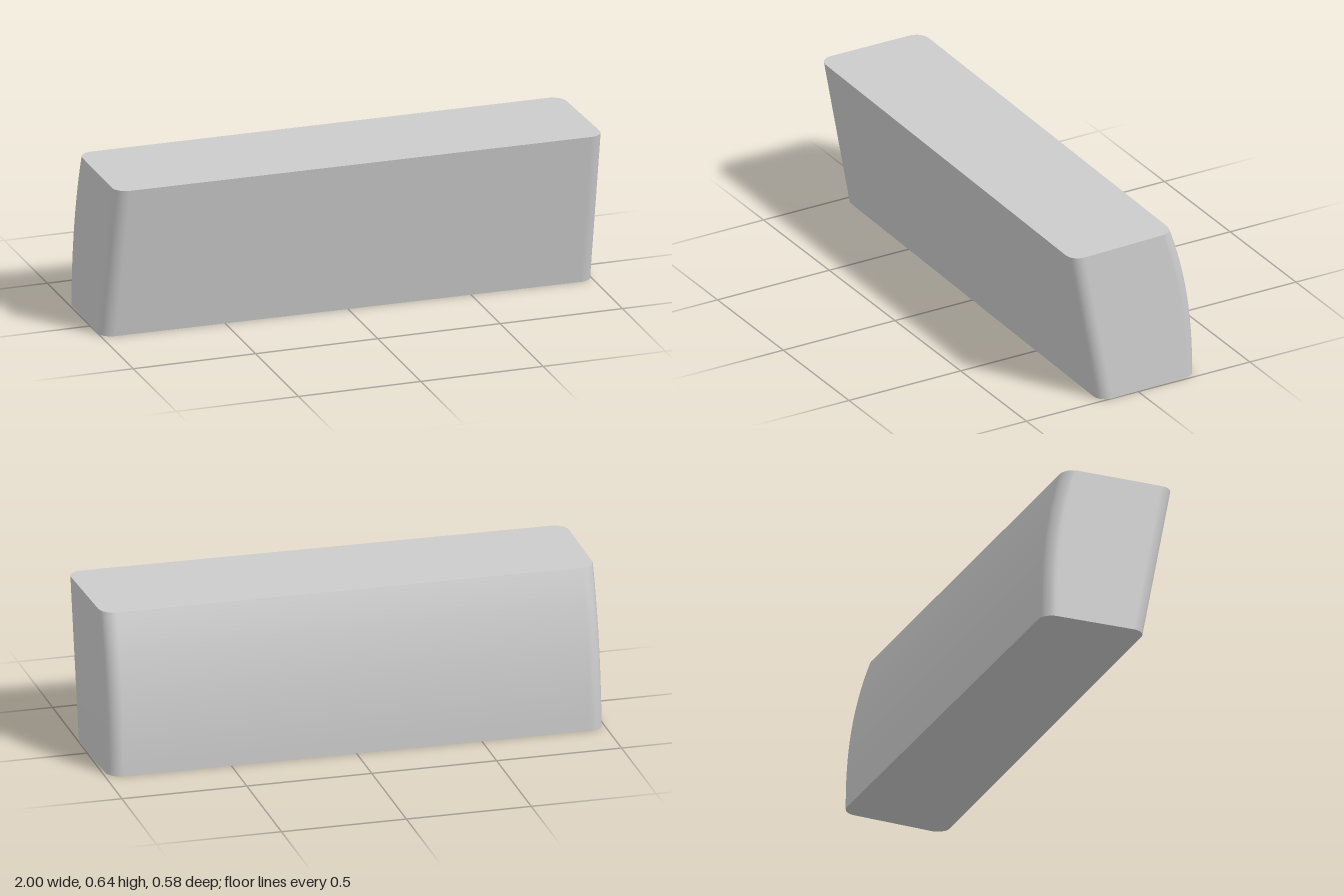
import * as THREE from 'three';

const HEIGHT = 0.64, LAYERS = 24, STEPS = 8, RADIUS = 0.055;
const lerp = THREE.MathUtils.lerp;

// Corners of the slightly skewed outline at height fraction t, counter-clockwise from above
function corners(t) {
  const bulge = Math.pow(t, 2.3); // the back curves forward towards the top
  return [
    [lerp(-1.002, -0.985, t), lerp(0.137, 0.262, t)],
    [1.001, lerp(0.17, 0.293, t)],
    [0.986, lerp(-0.273, -0.17, bulge)],
    [lerp(-0.99, -0.982, t), lerp(-0.292, -0.197, bulge)],
  ].map(([x, z]) => new THREE.Vector2(x, z));
}

// Outline with rounded corners
function ring(t) {
  const c = corners(t), points = [];
  c.forEach((p, i) => {
    const toPrev = c[(i + 3) % 4].clone().sub(p).setLength(RADIUS);
    const toNext = c[(i + 1) % 4].clone().sub(p).setLength(RADIUS);
    for (let k = 0; k <= STEPS; k++) {
      const a = (k / STEPS) * Math.PI / 2;
      points.push(p.clone()
        .addScaledVector(toPrev, 1 - Math.sin(a))
        .addScaledVector(toNext, 1 - Math.cos(a)));
    }
  });
  return points;
}

function buildGeometry(positions, index) {
  const g = new THREE.BufferGeometry();
  g.setAttribute('position', new THREE.Float32BufferAttribute(positions, 3));
  g.setIndex(index);
  g.computeVertexNormals();
  return g;
}

// Walls lofted through the stacked outlines
function wallGeometry() {
  const positions = [], index = [], n = 4 * (STEPS + 1);
  for (let j = 0; j <= LAYERS; j++) {
    const t = j / LAYERS;
    ring(t).forEach(p => positions.push(p.x, t * HEIGHT, p.y));
    if (j === LAYERS) break;
    for (let i = 0; i < n; i++) {
      const a = j * n + i, b = j * n + (i + 1) % n;
      index.push(a, b, b + n, a, b + n, a + n);
    }
  }
  return buildGeometry(positions, index);
}

// Flat end face, fanned from its middle
function capGeometry(t) {
  const positions = [0, t * HEIGHT, 0], index = [], points = ring(t);
  points.forEach((p, i) => {
    positions.push(p.x, t * HEIGHT, p.y);
    const a = i + 1, b = (i + 1) % points.length + 1;
    index.push(0, ...(t > 0 ? [a, b] : [b, a]));
  });
  return buildGeometry(positions, index);
}

export function createModel() {
  const model = new THREE.Group();
  model.name = 'curvedBlock';
  const material = new THREE.MeshStandardMaterial({ color: 0xcccccc });
  const parts = { walls: wallGeometry(), topFace: capGeometry(1), bottomFace: capGeometry(0) };
  for (const [name, geometry] of Object.entries(parts)) {
    const mesh = new THREE.Mesh(geometry, material);
    mesh.name = name;
    model.add(mesh);
  }
  return model;
}
